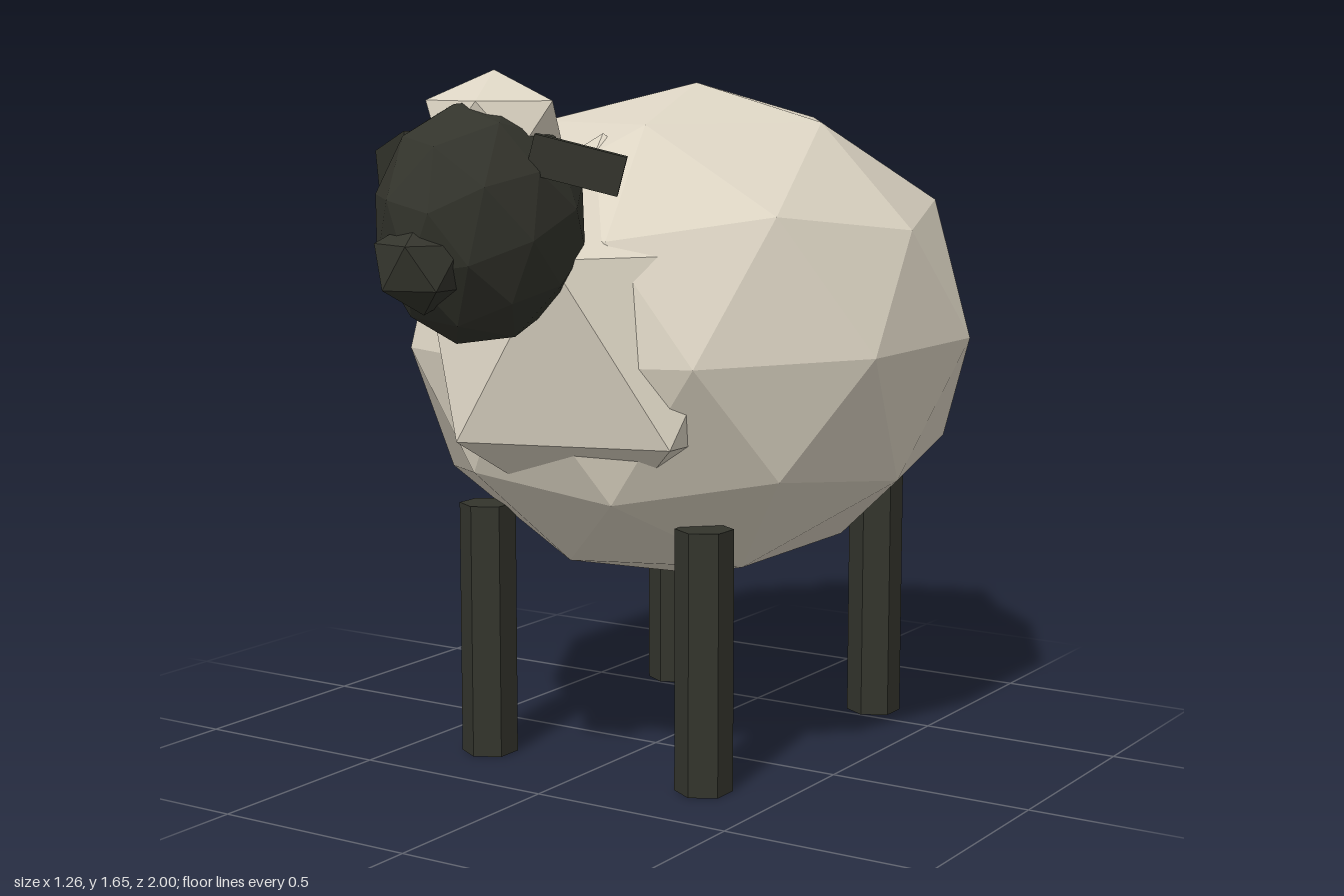
import * as THREE from 'three';

const wool = new THREE.MeshStandardMaterial({ name: 'cream wool', color: 0xdcd4c3, flatShading: true });
const dark = new THREE.MeshStandardMaterial({ name: 'charcoal skin', color: 0x33342c, flatShading: true });

// Faceted ball with a vertex at its top, stretched to the given radii
function ball(name, material, detail, [rx, ry, rz], [x, y, z], tilt = 0) {
  const geometry = new THREE.IcosahedronGeometry(1, detail);
  geometry.rotateX(-Math.atan((1 + Math.sqrt(5)) / 2));
  geometry.rotateY(Math.PI / 2);
  geometry.scale(rx, ry, rz);
  geometry.computeVertexNormals();
  const mesh = new THREE.Mesh(geometry, material);
  mesh.name = name;
  mesh.position.set(x, y, z);
  mesh.rotation.x = tilt;
  return mesh;
}

export function createModel() {
  const model = new THREE.Group();
  model.name = 'sheep';

  // Fleece: main body with coarse tufts at chest and rump
  model.add(
    ball('body', wool, 1, [0.662, 0.612, 0.793], [0, 1.007, -0.185]),
    ball('chestWool', wool, 0, [0.47, 0.47, 0.47], [0, 1.037, 0.225]),
    ball('rumpWool', wool, 0, [0.486, 0.486, 0.486], [0, 1.007, -0.587])
  );

  // Head, muzzle and wool cap
  model.add(
    ball('head', dark, 1, [0.205, 0.27, 0.275], [0, 1.33, 0.695], 0.35),
    ball('muzzle', dark, 0, [0.112, 0.105, 0.117], [0, 1.25, 0.9]),
    ball('woolCap', wool, 0, [0.172, 0.118, 0.155], [0, 1.537, 0.645])
  );

  // Ears, drooping outward and swept back; hexagonal legs
  const earGeometry = new THREE.BoxGeometry(0.2, 0.085, 0.065);
  const legGeometry = new THREE.CylinderGeometry(0.068, 0.068, 0.617, 6);
  for (const side of [1, -1]) {
    const prefix = side > 0 ? 'left' : 'right';
    const ear = new THREE.Mesh(earGeometry, dark);
    ear.name = prefix + 'Ear';
    ear.position.set(side * 0.23, 1.457, 0.667);
    ear.rotation.set(0, side * 0.56, side * -0.25);
    model.add(ear);

    for (const [end, z] of [['Front', 0.273], ['Back', -0.57]]) {
      const leg = new THREE.Mesh(legGeometry, dark);
      leg.name = prefix + end + 'Leg';
      leg.position.set(side * 0.307, 0.3085, z);
      model.add(leg);
    }
  }
  return model;
}
